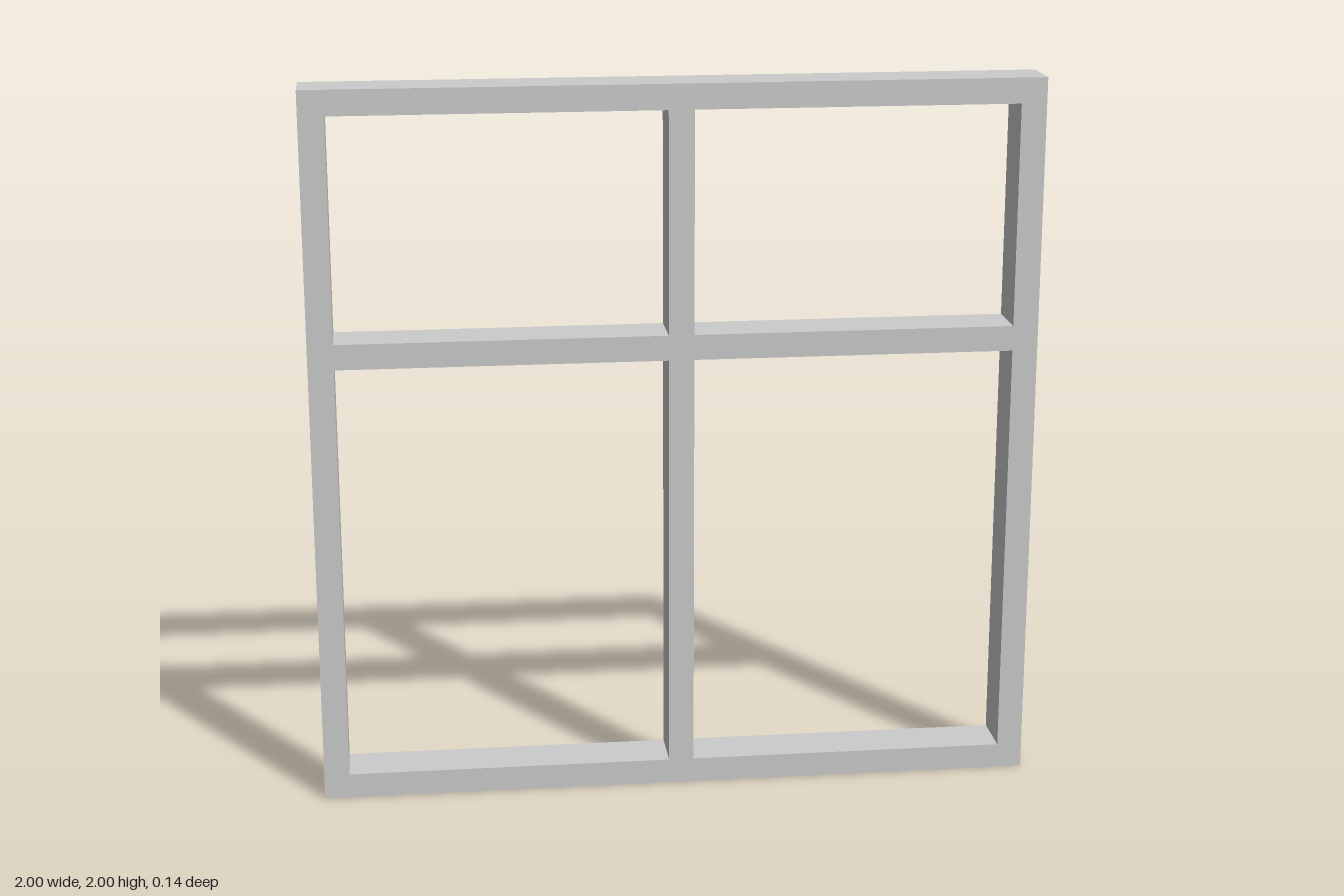
import * as THREE from 'three';

const DEPTH = 0.144;

// Counter-clockwise or clockwise rectangle; ExtrudeGeometry fixes the winding
function rect(path, x0, y0, x1, y1) {
  path.moveTo(x0, y0);
  path.lineTo(x1, y0);
  path.lineTo(x1, y1);
  path.lineTo(x0, y1);
  path.closePath();
  return path;
}

export function createModel() {
  const group = new THREE.Group();
  group.name = 'window';

  // Outer frame outline
  const outline = rect(new THREE.Shape(), -1, 0, 1, 2);

  // Four pane openings, leaving the mullion and the transom between them
  const columns = [[-0.93, -0.025], [0.045, 0.93]];
  const rows = [[0.07, 1.245], [1.315, 1.93]];
  for (const [x0, x1] of columns) {
    for (const [y0, y1] of rows) {
      outline.holes.push(rect(new THREE.Path(), x0, y0, x1, y1));
    }
  }

  const geometry = new THREE.ExtrudeGeometry(outline, { depth: DEPTH, bevelEnabled: false });
  geometry.translate(0, 0, -DEPTH / 2);

  const frame = new THREE.Mesh(
    geometry,
    new THREE.MeshStandardMaterial({ color: 0xcccccc, flatShading: true })
  );
  frame.name = 'windowFrame';
  group.add(frame);
  return group;
}
